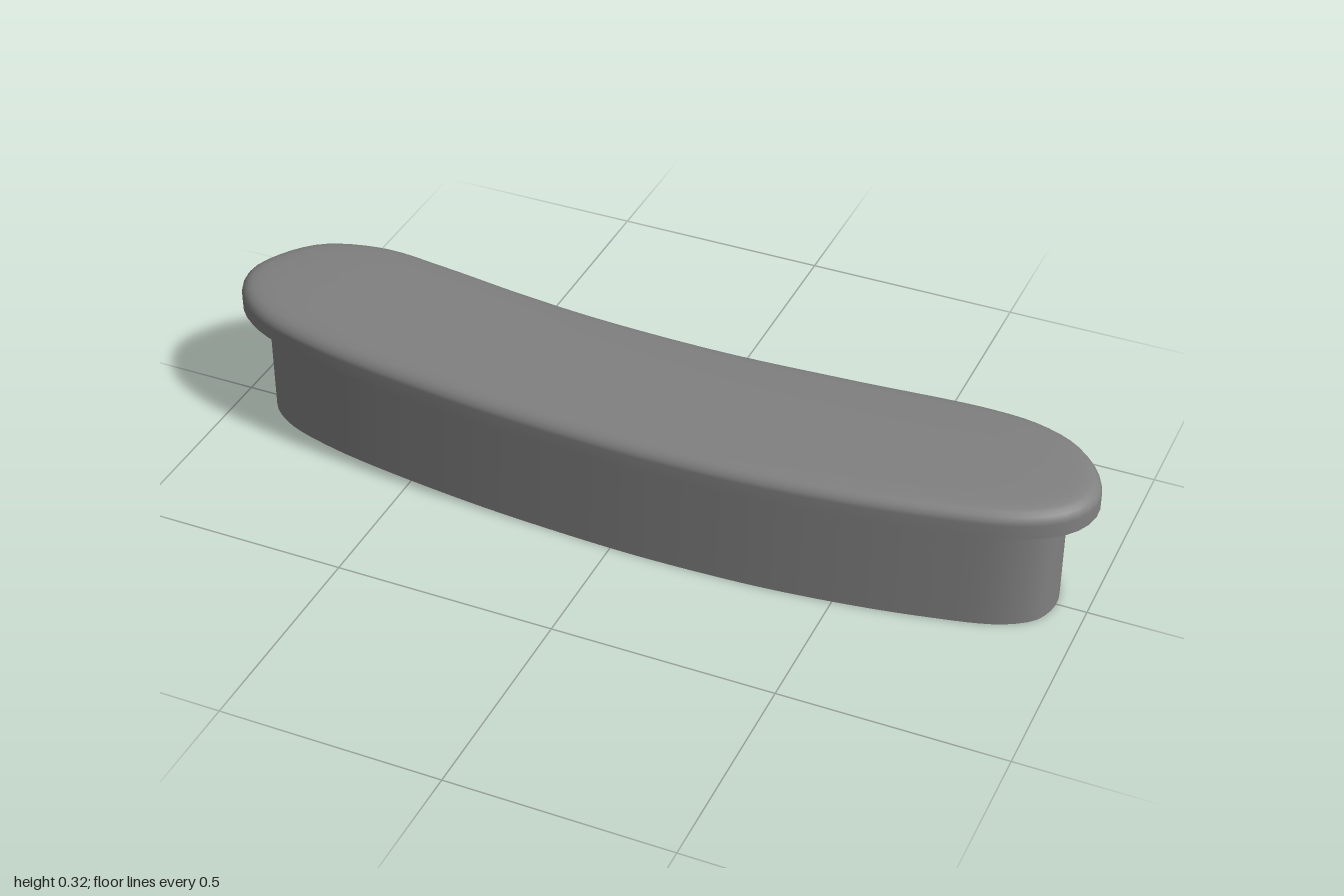
import * as THREE from 'three';

const N = 144;

// Bean-shaped plan of the top, as x, z pairs, starting at the right end and running along the front
const plan = [
  [-1, -0.03], [-0.972, 0.045], [-0.895, 0.109], [-0.74, 0.161], [-0.4, 0.213], [-0.1, 0.236],
  [0.12, 0.241], [0.4, 0.228], [0.7, 0.185], [0.89, 0.134], [0.973, 0.073], [1, 0],
  [0.98, -0.075], [0.91, -0.155], [0.815, -0.196], [0.7, -0.207], [0.4, -0.187], [0.1, -0.172],
  [-0.2, -0.18], [-0.4, -0.2], [-0.6, -0.228], [-0.76, -0.241], [-0.905, -0.196], [-0.983, -0.1],
];
const curve = new THREE.CatmullRomCurve3(plan.map(([x, z]) => new THREE.Vector3(x, 0, z)), true, 'centripetal');

const outline = [];
for (let i = 0; i < N; i++) {
  const p = curve.getPointAt(i / N);
  const t = curve.getTangentAt(i / N);
  outline.push({ x: p.x, z: p.z, nx: -t.z, nz: t.x });
}

// Outline at height y, set in by dx and dz along its normals
function insetRing(y, dx, dz) {
  return outline.map(({ x, z, nx, nz }) => [x - dx * nx, y, z - dz * nz]);
}

// Outline set in by d, then pulled part of the way s towards the curved centre line
function topRing(y, d, s) {
  return insetRing(y, d, d).map(([x, , z]) => {
    const cx = THREE.MathUtils.clamp(x, -0.78, 0.78);
    const cz = 0.033 - 0.09 * (cx - 0.1) ** 2;
    return [x + (cx - x) * s, y, z + (cz - z) * s];
  });
}

// Skin over a stack of closed rings
function loft(rings) {
  const index = [];
  for (let r = 0; r < rings.length - 1; r++) {
    for (let i = 0; i < N; i++) {
      const j = (i + 1) % N;
      const a = r * N + i, b = r * N + j, c = a + N, d = b + N;
      index.push(a, b, d, a, d, c);
    }
  }
  const g = new THREE.BufferGeometry();
  g.setAttribute('position', new THREE.Float32BufferAttribute(rings.flat(2), 3));
  g.setIndex(index);
  g.computeVertexNormals();
  return g;
}

export function createModel() {
  const group = new THREE.Group();
  group.name = 'curvedCounter';
  const material = new THREE.MeshStandardMaterial({ color: 0x808080, side: THREE.DoubleSide });
  const add = (name, rings) => {
    const mesh = new THREE.Mesh(loft(rings), material);
    mesh.name = name;
    group.add(mesh);
  };

  const under = 0.256;
  const baseRing = (y) => insetRing(y, 0.067, 0.034);

  // Hollow base wall, open underneath
  add('baseWall', [baseRing(0), baseRing(under)]);

  // Flat underside of the overhang
  add('overhangUnderside', [baseRing(under), insetRing(under, 0, 0)]);

  // Top with an upright edge, rounded shoulder and slightly domed surface: height, inset, pull to centre
  const profile = [
    [under, 0, 0], [0.288, 0, 0], [0.297, 0.002, 0], [0.305, 0.008, 0], [0.311, 0.016, 0],
    [0.315, 0.026, 0], [0.318, 0.042, 0], [0.32, 0.042, 0.15], [0.322, 0.042, 0.4],
    [0.3235, 0.042, 0.7], [0.324, 0.042, 1],
  ];
  add('counterTop', profile.map((p) => topRing(...p)));

  return group;
}
